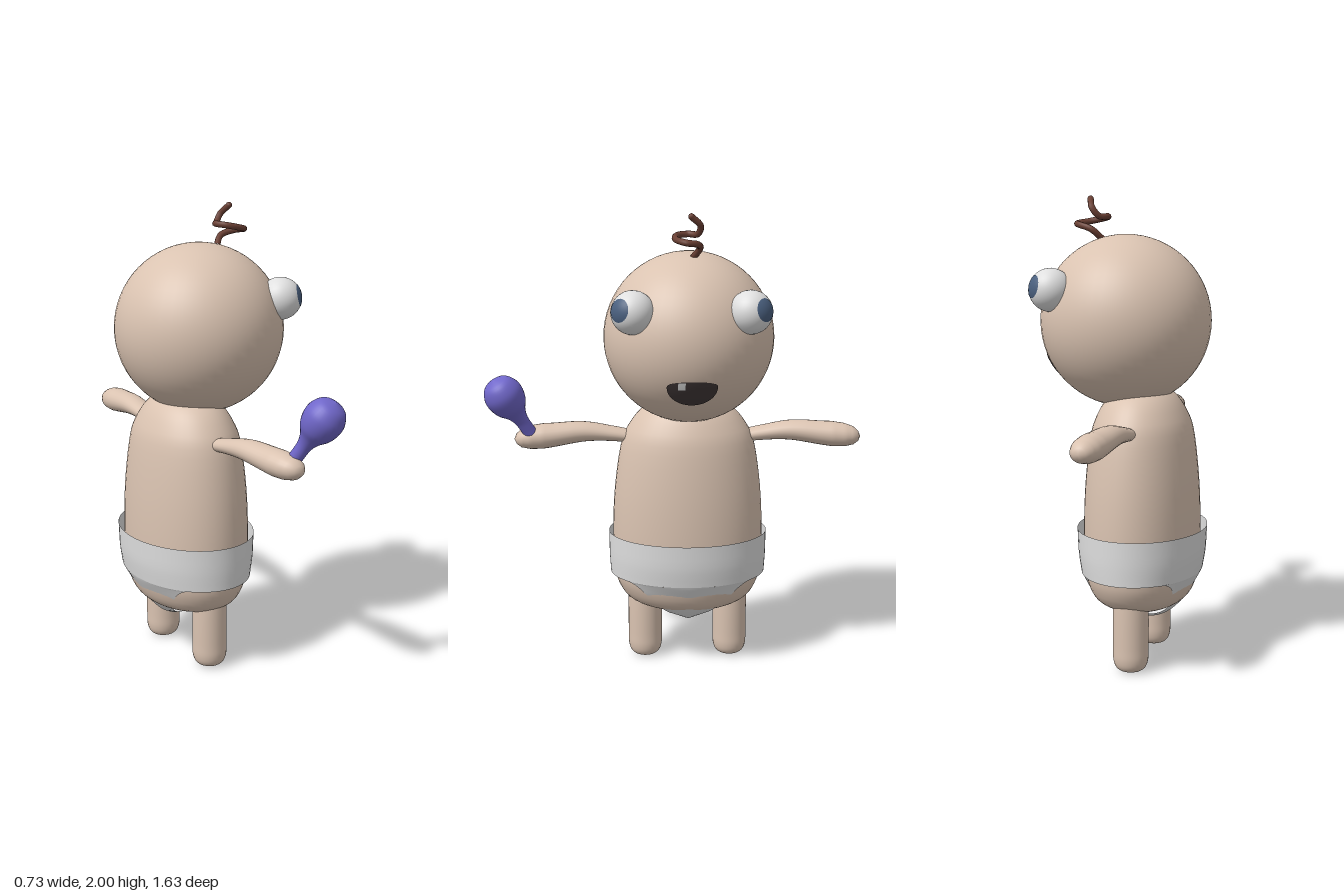
import * as THREE from 'three';
import { mergeVertices } from 'three/addons/utils/BufferGeometryUtils.js';

const V = (x, y, z) => new THREE.Vector3(x, y, z);
const CX = -0.075, CZ = -0.058; // body axis

// Smooth surface from a rule fn(u, v) -> [x, y, z], with u and v in 0..1
function surface(nu, nv, fn) {
  const pos = [], idx = [];
  for (let j = 0; j <= nv; j++) for (let i = 0; i <= nu; i++) pos.push(...fn(i / nu, j / nv));
  for (let j = 0; j < nv; j++) for (let i = 0; i < nu; i++) {
    const a = j * (nu + 1) + i, b = a + nu + 1;
    idx.push(a, a + 1, b, a + 1, b + 1, b);
  }
  let g = new THREE.BufferGeometry();
  g.setAttribute('position', new THREE.Float32BufferAttribute(pos, 3));
  g.setIndex(idx);
  g = mergeVertices(g, 1e-5);
  g.computeVertexNormals();
  return g;
}

// Lathe through a smoothed profile of [radius, height], listed bottom to top
function lathe(profile, segments = 40) {
  const curve = new THREE.SplineCurve(profile.map(p => new THREE.Vector2(...p)));
  const pts = curve.getPoints(40).map(p => new THREE.Vector2(Math.max(0, p.x), p.y));
  return new THREE.LatheGeometry(pts, segments);
}

// Linear lookup in rows of [key, value, value, ...] sorted by key
function lookup(rows, k) {
  let i = 0;
  while (i < rows.length - 2 && k > rows[i + 1][0]) i++;
  const t = (k - rows[i][0]) / (rows[i + 1][0] - rows[i][0]);
  return rows[i].slice(1).map((v, c) => v + (rows[i + 1][c + 1] - v) * t);
}

export function createModel() {
  const model = new THREE.Group();
  const mat = (name, color, side = THREE.FrontSide) => {
    const m = new THREE.MeshStandardMaterial({ color, side });
    m.name = name;
    return m;
  };
  const skin = mat('skin', 0xdac3b1);
  const white = mat('white', 0xdfdfdf, THREE.DoubleSide);
  const blue = mat('iris blue', 0x4a607f);
  const purple = mat('rattle purple', 0x7067ca);
  const brown = mat('hair brown', 0x6b4034);
  const dark = mat('mouth dark', 0x403737, THREE.DoubleSide);
  const add = (name, geo, material, parent = model) => {
    const m = new THREE.Mesh(geo, material);
    m.name = name;
    parent.add(m);
    return m;
  };

  // Head and torso
  const headC = V(0, 1.478, CZ), headR = 0.363;
  add('head', new THREE.SphereGeometry(headR, 48, 32), skin).position.copy(headC);
  const torso = add('torso', lathe([[0, 0.25], [0.5, 0.255], [0.78, 0.29], [0.92, 0.35], [0.98, 0.43],
    [1, 0.6], [0.97, 0.8], [0.88, 1.0], [0.76, 1.09], [0.58, 1.16], [0.35, 1.2], [0, 1.22]], 48), skin);
  torso.scale.set(0.245, 1, 0.333);
  torso.position.set(CX, 0, CZ);

  // Limbs and eyes, mirrored about the body's middle plane
  for (const s of [1, -1]) {
    const side = s > 0 ? 'right' : 'left';

    const leg = add(side + 'Leg', lathe([[0, 0.005], [0.04, 0.008], [0.064, 0.025], [0.075, 0.06],
      [0.076, 0.12], [0.076, 0.25], [0.074, 0.36]], 28), skin);
    leg.position.set(CX, 0, CZ + s * 0.192);

    // Arm swells from a thin shoulder to a rounded hand
    const path = new THREE.CatmullRomCurve3([V(-0.075, 1.02, CZ + s * 0.2), V(-0.072, 1.04, CZ + s * 0.32),
      V(-0.065, 1.053, CZ + s * 0.45), V(-0.048, 1.041, CZ + s * 0.6), V(-0.032, 1.03, CZ + s * 0.757)]);
    const radii = [[0, 0.025, 0.04], [0.3, 0.034, 0.05], [0.6, 0.048, 0.06], [0.8, 0.055, 0.065],
      [0.89, 0.051, 0.06], [0.95, 0.04, 0.046], [0.985, 0.022, 0.026], [1, 0, 0]];
    add(side + 'Arm', surface(24, 60, (u, v) => {
      const p = path.getPoint(v), [ry, rx] = lookup(radii, v), a = u * Math.PI * 2 * s;
      return [p.x + rx * Math.cos(a), p.y + ry * Math.sin(a), p.z];
    }), skin);

    // Eyeball with an iris cap facing outward
    const eye = new THREE.Group();
    eye.name = side + 'Eye';
    eye.position.set(0.253, 1.613, CZ + s * 0.238);
    eye.quaternion.setFromUnitVectors(V(0, 1, 0), V(0.71, 0.19, 0.67 * s).normalize());
    model.add(eye);
    add('eyeball', new THREE.SphereGeometry(0.09, 32, 24), white, eye);
    add('iris', new THREE.SphereGeometry(0.0915, 28, 6, 0, Math.PI * 2, 0, 0.55), blue, eye);
  }

  // Mouth and tooth: thin patches lying on the head's surface
  const onHead = (y, z, lift) => {
    const dy = y - headC.y, dz = z - CZ, r = headR + lift;
    return [Math.sqrt(r * r - dy * dy - dz * dz), y, z];
  };
  add('mouth', surface(40, 6, (u, v) => {
    const a = u * Math.PI * 2, sn = Math.sin(a);
    const y = sn > 0 ? 0.026 * Math.pow(sn, 0.7) : 0.082 * sn;
    return onHead(1.318 + v * y, CZ - v * 0.104 * Math.cos(a), 0.004);
  }), dark);
  add('tooth', surface(4, 4, (u, v) => onHead(1.308 + v * 0.032, -0.03 + u * 0.03, 0.008)), white);

  // Nappy: an open waistband and a strap running under the body
  const nappy = new THREE.Group();
  nappy.name = 'nappy';
  nappy.position.set(CX, 0, CZ);
  model.add(nappy);
  const band = [[0.41, 0.256, 0.345], [0.49, 0.27, 0.35], [0.6, 0.275, 0.351]];
  add('waistband', surface(64, 6, (u, v) => {
    const y = 0.41 + 0.19 * v, [rx, rz] = lookup(band, y), a = -u * Math.PI * 2;
    return [rx * Math.cos(a), y, rz * Math.sin(a)];
  }), white, nappy);
  // Strap points from the middle to the waist: x, height, half width
  const strap = new THREE.CatmullRomCurve3([V(0, 0.185, 0.05), V(0.06, 0.193, 0.062), V(0.115, 0.218, 0.09),
    V(0.17, 0.268, 0.135), V(0.207, 0.32, 0.178), V(0.235, 0.368, 0.22), V(0.25, 0.396, 0.255), V(0.256, 0.41, 0.3)]);
  add('strap', surface(16, 56, (u, v) => {
    const t = v * 2 - 1, w = 1 - u * 2, p = strap.getPoint(Math.abs(t)), z = p.z * w;
    const rise = 0.026 * (1 - Math.abs(t) ** 3);
    return [Math.sign(t) * p.x * Math.sqrt(1 - (z / 0.345) ** 2), p.y + rise * Math.abs(w), z];
  }), white, nappy);

  // Rattle held in the right hand
  const rattle = add('rattle', lathe([[0, -0.015], [0.028, -0.008], [0.029, 0.05], [0.031, 0.1], [0.045, 0.14],
    [0.071, 0.18], [0.083, 0.225], [0.079, 0.265], [0.053, 0.305], [0, 0.324]], 32), purple);
  rattle.position.set(-0.02, 1.04, 0.615);
  rattle.quaternion.setFromUnitVectors(V(0, 1, 0), V(0.07, 0.2, 0.115).normalize());

  // Curl of hair
  const curl = new THREE.CatmullRomCurve3([V(0.1, 1.82, -0.07), V(0.14, 1.86, -0.097), V(0.2, 1.88, -0.08),
    V(0.218, 1.886, -0.04), V(0.17, 1.897, 0.003), V(0.105, 1.91, -0.005), V(0.083, 1.914, -0.05),
    V(0.11, 1.915, -0.088), V(0.137, 1.95, -0.098), V(0.155, 1.987, -0.06)]);
  add('hairCurl', new THREE.TubeGeometry(curl, 80, 0.0135, 10), brown);
  add('hairTip', new THREE.SphereGeometry(0.0135, 10, 8), brown).position.set(0.155, 1.987, -0.06);

  return model;
}
